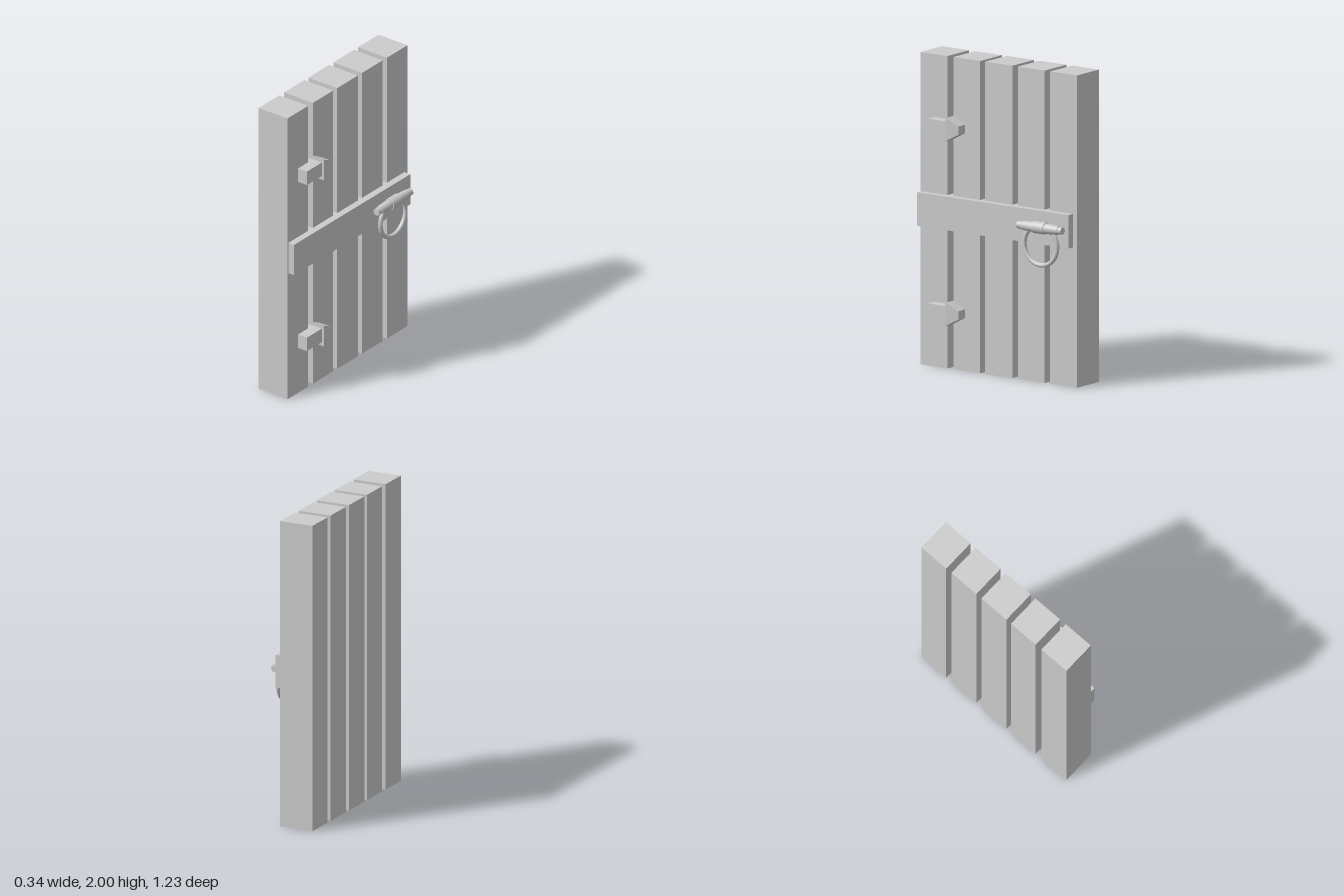
import * as THREE from 'three';

const material = new THREE.MeshStandardMaterial({ color: 0xcccccc, flatShading: true });
const smooth = new THREE.MeshStandardMaterial({ color: 0xcccccc });

// Box given by its extents on each axis
function box(name, [x0, x1], [y0, y1], [z0, z1]) {
  const mesh = new THREE.Mesh(new THREE.BoxGeometry(x1 - x0, y1 - y0, z1 - z0), material);
  mesh.position.set((x0 + x1) / 2, (y0 + y1) / 2, (z0 + z1) / 2);
  mesh.name = name;
  return mesh;
}

// Strap hinge: square arm and a wedge head that narrows towards its tip
function hinge(name, y) {
  const group = new THREE.Group();
  group.name = name;
  group.add(box('hingeArm', [0.03, 0.128], [-0.048, 0.048], [0.345, 0.502]));

  const head = box('hingeHead', [0.03, 0.147], [-0.074, 0.074], [0.262, 0.35]);
  const p = head.geometry.attributes.position;
  for (let i = 0; i < p.count; i++) {
    if (p.getZ(i) > 0) continue;
    p.setY(i, p.getY(i) * 0.37);
    if (p.getX(i) > 0) p.setX(i, p.getX(i) - 0.018);
  }
  head.geometry.computeVertexNormals();
  group.add(head);
  group.position.y = y;
  return group;
}

// Turned section of the handle barrel, lying along z, with crisp ends
function turned(name, profile) {
  const parts = new THREE.Group();
  parts.name = name;
  const [first, last] = [profile[0], profile[profile.length - 1]];
  const side = new THREE.Mesh(
    new THREE.LatheGeometry(profile.map(([r, z]) => new THREE.Vector2(r, z)), 32), smooth);
  side.name = name + 'Side';
  parts.add(side);
  for (const [[r, z], dir] of [[first, 1], [last, -1]]) {
    const cap = new THREE.Mesh(new THREE.CircleGeometry(r, 32), smooth);
    cap.rotation.x = dir * Math.PI / 2;
    cap.position.y = z;
    cap.name = name + 'End';
    parts.add(cap);
  }
  parts.rotation.x = Math.PI / 2;
  return parts;
}

export function createModel() {
  const door = new THREE.Group();
  door.name = 'plankDoor';

  // Upright planks with open gaps
  const planks = [[-0.615, -0.405], [-0.362, -0.151], [-0.108, 0.104], [0.143, 0.352], [0.4, 0.612]];
  planks.forEach((z, i) => door.add(box('plank' + (i + 1), [-0.17, 0.058], [0, 2], z)));

  // Cross board, very slightly skewed
  const board = box('crossBoard', [-0.004, 0.104], [0.895, 1.11], [-0.585, 0.603]);
  board.rotation.y = -0.002;
  door.add(board);

  door.add(hinge('upperHinge', 1.55), hinge('lowerHinge', 0.367));

  // Barrel and pull ring
  const handle = new THREE.Group();
  handle.name = 'handle';
  handle.position.set(0.129, 1.007, -0.381);
  handle.add(
    turned('barrelPin', [[0.023, -0.174], [0.023, 0.174]]),
    turned('barrelBody', [[0.027, -0.145], [0.03, -0.11], [0.033, -0.045], [0.033, 0.045], [0.03, 0.11], [0.027, 0.145]]),
    turned('barrelCollar', [[0.038, -0.044], [0.038, 0.044]]));
  const ring = new THREE.Mesh(new THREE.TorusGeometry(0.128, 0.0145, 16, 64), smooth);
  ring.name = 'pullRing';
  ring.rotation.y = Math.PI / 2;
  ring.position.set(-0.004, -0.112, 0);
  handle.add(ring);
  door.add(handle);

  return door;
}
